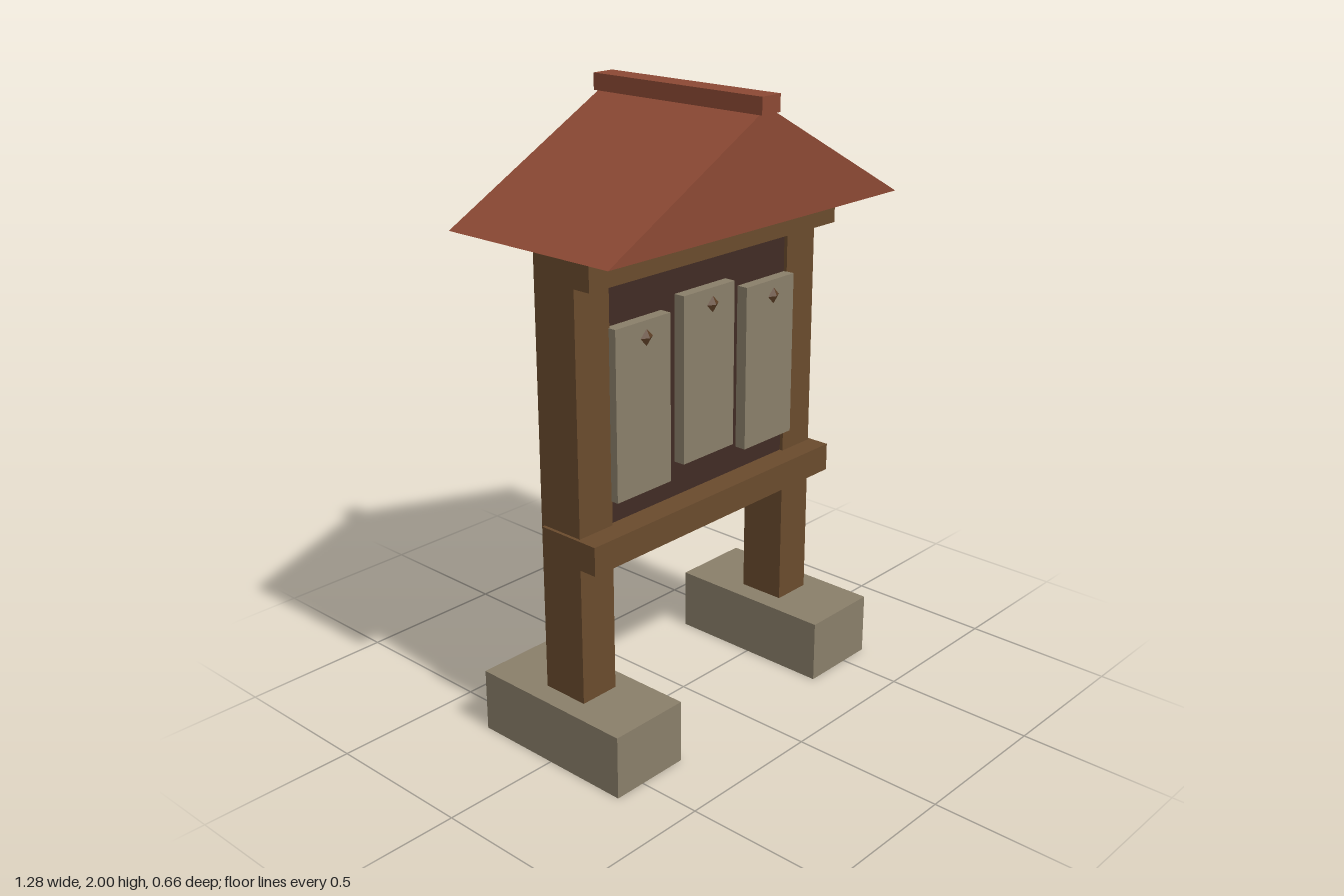
import * as THREE from 'three';

const mat = (name, color) => {
  const m = new THREE.MeshStandardMaterial({ color });
  m.name = name;
  return m;
};

export function createModel() {
  const model = new THREE.Group();
  model.name = 'noticeBoard';
  const roofRed = mat('roofRed', 0x8c4934);
  const wood = mat('wood', 0x6a4b2d);
  const darkWood = mat('darkWood', 0x412c24);
  const stone = mat('stone', 0x8a7f6a);
  const pinBrown = mat('pinBrown', 0x5c3f26);

  const add = (name, geometry, material) => {
    const mesh = new THREE.Mesh(geometry, material);
    mesh.name = name;
    model.add(mesh);
    return mesh;
  };
  // Box given by its minimum and maximum corners
  const box = (name, material, x0, x1, y0, y1, z0, z1) =>
    add(name, new THREE.BoxGeometry(x1 - x0, y1 - y0, z1 - z0), material)
      .position.set((x0 + x1) / 2, (y0 + y1) / 2, (z0 + z1) / 2);

  // Footings and posts
  for (const [side, s] of [['left', 1], ['right', -1]]) {
    const cx = s * 0.468;
    box(side + 'Footing', stone, cx - 0.138, cx + 0.138, 0, 0.205, -0.29, 0.29);
    box(side + 'Post', wood, cx - 0.068, cx + 0.068, 0.205, 1.64, -0.08, 0.08);
  }

  // Cross rails and the board between them
  box('lowerRail', wood, -0.547, 0.547, 0.66, 0.752, -0.068, 0.152);
  box('upperRail', wood, -0.547, 0.547, 1.512, 1.605, -0.068, 0.152);
  box('backBoard', darkWood, -0.402, 0.402, 0.75, 1.514, -0.067, 0.068);

  // Notices, each held by a diamond pin
  for (const [name, x, y] of [['right', -0.288, 0.83], ['middle', 0, 0.866], ['left', 0.288, 0.83]]) {
    box(name + 'Notice', stone, x - 0.115, x + 0.115, y, y + 0.535, 0.06, 0.106);
    const pin = add(name + 'Pin', new THREE.OctahedronGeometry(0.026), pinBrown);
    pin.scale.z = 0.5;
    pin.position.set(x, y + 0.489, 0.119);
  }

  // Solid gable roof
  const gable = new THREE.Shape([
    new THREE.Vector2(-0.638, 1.624),
    new THREE.Vector2(0.638, 1.624),
    new THREE.Vector2(0, 1.966),
  ]);
  const roof = new THREE.ExtrudeGeometry(gable, { depth: 0.634, bevelEnabled: false });
  add('roof', roof.translate(0, 0, -0.317), roofRed);

  // Ridge beam
  box('ridgeCap', roofRed, -0.04, 0.04, 1.948, 2, -0.33, 0.33);
  return model;
}
